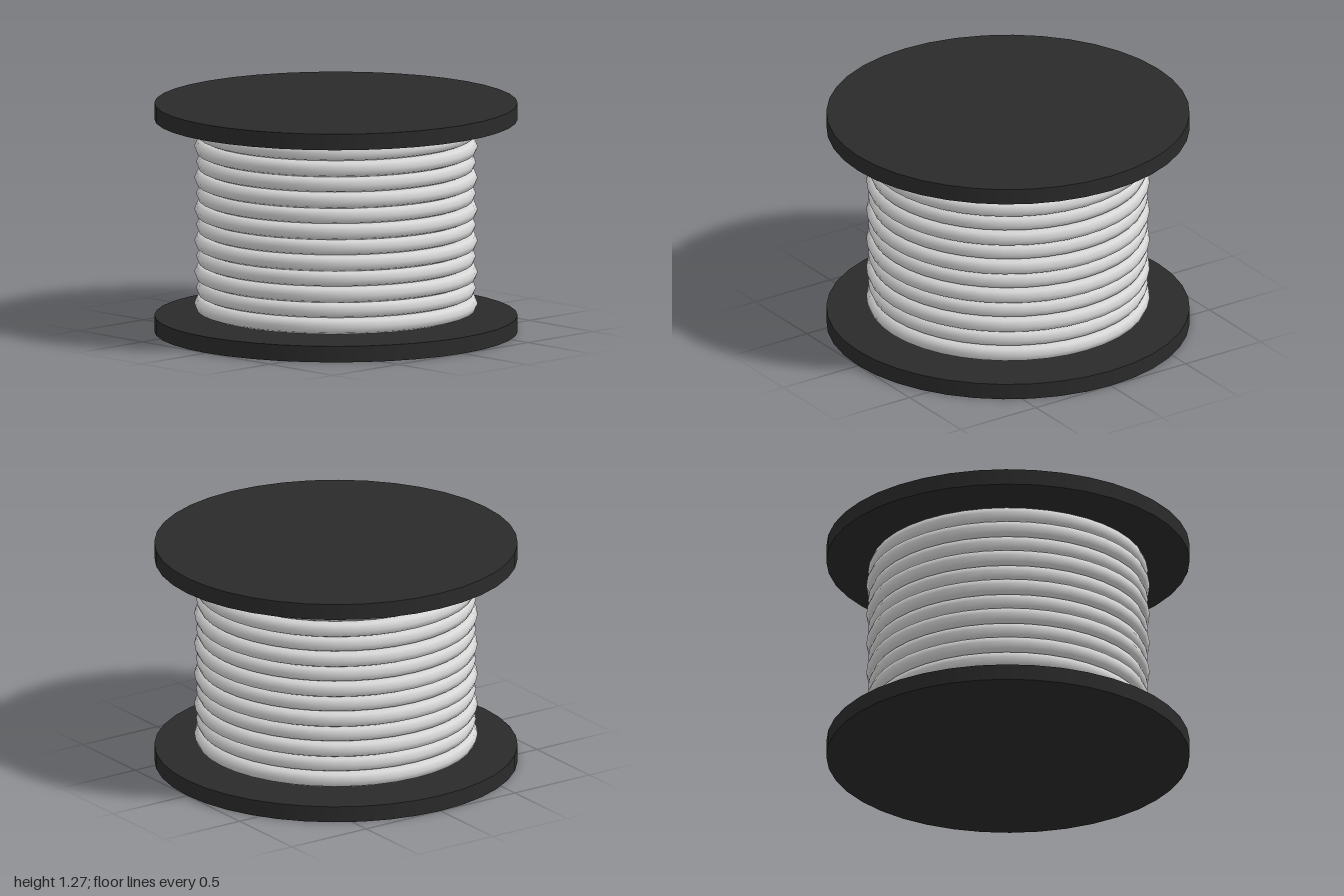
import * as THREE from 'three';

export function createModel() {
  const spool = new THREE.Group();
  spool.name = 'cableSpool';

  const darkPlastic = new THREE.MeshStandardMaterial({ color: 0x2a2a2a });
  darkPlastic.name = 'darkPlastic';
  const paleCable = new THREE.MeshStandardMaterial({ color: 0xd8d8d8 });
  paleCable.name = 'paleCable';

  const SIDES = 40, HEIGHT = 1.275, FLANGE = 0.09;

  const add = (name, geometry, material, y) => {
    const mesh = new THREE.Mesh(geometry, material);
    mesh.name = name;
    mesh.position.y = y;
    spool.add(mesh);
  };

  // End discs and the core between them
  const disc = new THREE.CylinderGeometry(1, 1, FLANGE, SIDES);
  add('bottomFlange', disc, darkPlastic, FLANGE / 2);
  add('topFlange', disc, darkPlastic, HEIGHT - FLANGE / 2);
  add('core', new THREE.CylinderGeometry(0.545, 0.545, HEIGHT - 2 * FLANGE, SIDES, 1, true),
    darkPlastic, HEIGHT / 2);

  // Cable turns, alternately a little wider and narrower
  const turn = (radius) => new THREE.TorusGeometry(radius, 0.047, 8, SIDES).rotateX(Math.PI / 2);
  const turns = [turn(0.733), turn(0.723)];
  for (let i = 0; i < 12; i++) {
    add(`cableTurn${i + 1}`, turns[i % 2], paleCable, 0.157 + i * 0.0877);
  }

  return spool;
}
